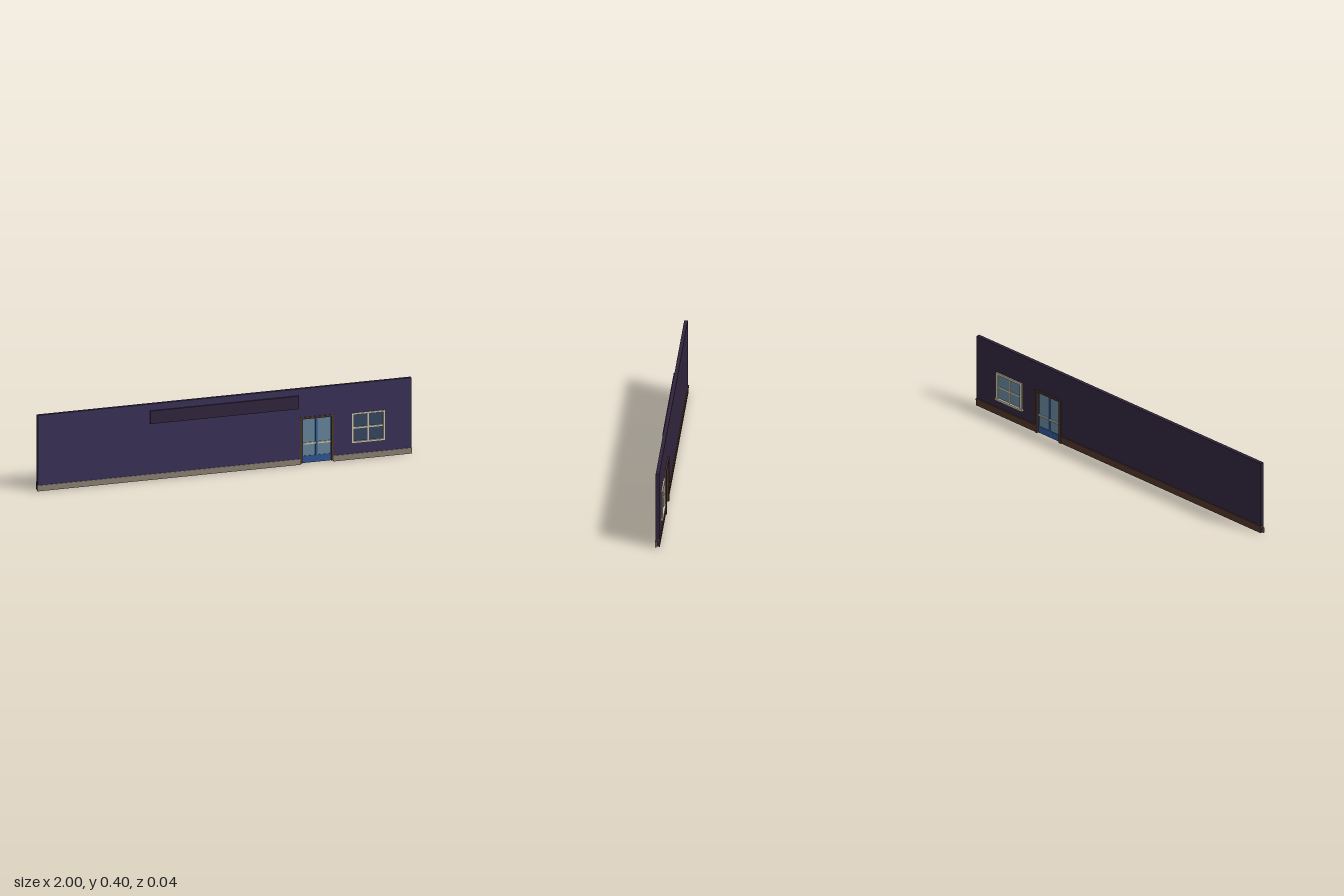
import * as THREE from 'three';

const mat = (name, color) => {
  const m = new THREE.MeshStandardMaterial({ color });
  m.name = name;
  return m;
};

export function createModel() {
  const plum = mat('purple paint', 0x3a2f56);
  const dark = mat('dark plum', 0x30253c);
  const stone = mat('stone plinth', 0x8a8072);
  const brown = mat('brown wood', 0x4f3428);
  const cream = mat('cream trim', 0xc9c0a8);
  const blue = mat('blue door', 0x2f5590);
  const paleGlass = mat('pale glass', 0x64849a);
  const darkGlass = mat('dark glass', 0x35455f);

  const model = new THREE.Group();
  model.name = 'shopfrontWall';

  // Box given by its limits on each axis
  const box = (parent, name, material, x0, x1, y0, y1, z0, z1) => {
    const g = new THREE.BoxGeometry(x1 - x0, y1 - y0, z1 - z0);
    g.translate((x0 + x1) / 2, (y0 + y1) / 2, (z0 + z1) / 2);
    const mesh = new THREE.Mesh(g, material);
    mesh.name = name;
    parent.add(mesh);
    return mesh;
  };
  const group = (name) => {
    const g = new THREE.Group();
    g.name = name;
    model.add(g);
    return g;
  };

  const door = { x0: 0.412, x1: 0.572, y0: 0.005, y1: 0.24 };
  const win = { x0: 0.685, x1: 0.85, y0: 0.09, y1: 0.238 };

  // Wall outline with a doorway notch and a window hole
  const outline = new THREE.Shape([
    [-0.998, 0.005], [door.x0, 0.005], [door.x0, door.y1], [door.x1, door.y1],
    [door.x1, 0.005], [0.998, 0.005], [0.998, 0.4], [-0.998, 0.4],
  ].map(([x, y]) => new THREE.Vector2(x, y)));
  outline.holes.push(new THREE.Path([
    [win.x0, win.y0], [win.x0, win.y1], [win.x1, win.y1], [win.x1, win.y0],
  ].map(([x, y]) => new THREE.Vector2(x, y))));

  const wallLayer = (name, material, z0, z1) => {
    const g = new THREE.ExtrudeGeometry(outline, { depth: z1 - z0, bevelEnabled: false });
    g.translate(0, 0, z0);
    const mesh = new THREE.Mesh(g, material);
    mesh.name = name;
    model.add(mesh);
  };
  wallLayer('wallCore', dark, -0.008, 0.009);
  wallLayer('wallFrontPaint', plum, 0.009, 0.0105);

  // Fascia board
  box(model, 'signBoard', dark, -0.4, 0.393, 0.297, 0.365, 0.0105, 0.02);

  // Plinth at the front, skirting with a cap at the back
  for (const [x0, x1] of [[-1, 0.404], [0.58, 1]]) {
    box(model, 'plinth', stone, x0, x1, 0, 0.03, 0.007, 0.0135);
    box(model, 'skirting', brown, x0, x1, 0.005, 0.037, -0.011, -0.007);
    box(model, 'skirtingCap', brown, x0, x1, 0.037, 0.045, -0.0135, 0.006);
  }

  // Door casing
  const doorway = group('doorway');
  box(doorway, 'doorPostRight', brown, 0.402, 0.415, 0.005, 0.248, -0.0155, 0.0135);
  box(doorway, 'doorPostLeft', brown, 0.569, 0.582, 0.005, 0.248, -0.0155, 0.0135);
  box(doorway, 'doorHead', brown, 0.415, 0.569, 0.238, 0.248, -0.0155, 0.0135);

  // Two glazed leaves
  for (const [x0, x1] of [[0.415, 0.4915], [0.4925, 0.569]]) {
    const leaf = group('doorLeaf');
    box(leaf, 'kickPanel', blue, x0, x1, 0.005, 0.042, -0.004, 0.004);
    box(leaf, 'topRail', blue, x0, x1, 0.234, 0.238, -0.004, 0.004);
    box(leaf, 'stileA', blue, x0, x0 + 0.005, 0.042, 0.234, -0.004, 0.004);
    box(leaf, 'stileB', blue, x1 - 0.005, x1, 0.042, 0.234, -0.004, 0.004);
    box(leaf, 'doorGlass', paleGlass, x0 + 0.005, x1 - 0.005, 0.042, 0.234, -0.002, 0.002);
    box(leaf, 'pushBar', cream, x0 + 0.004, x1 - 0.004, 0.102, 0.111, -0.007, 0.007);
  }

  // Four-pane window, trimmed on both faces
  const windowGroup = group('window');
  box(windowGroup, 'outerGlass', darkGlass, win.x0, win.x1, win.y0, win.y1, 0, 0.004);
  box(windowGroup, 'innerGlass', paleGlass, win.x0, win.x1, win.y0, win.y1, -0.006, 0);
  const mx = (win.x0 + win.x1) / 2, my = (win.y0 + win.y1) / 2;
  for (const [z0, z1, e] of [[0.003, 0.0125, 0.005], [-0.0155, -0.005, 0.008]]) {
    const { x0, x1, y0, y1 } = win;
    box(windowGroup, 'frameRight', cream, x0 - e, x0 + 0.004, y0 - 0.004, y1 + e, z0, z1);
    box(windowGroup, 'frameLeft', cream, x1 - 0.004, x1 + e, y0 - 0.004, y1 + e, z0, z1);
    box(windowGroup, 'frameTop', cream, x0, x1, y1 - 0.004, y1 + e, z0, z1);
    box(windowGroup, 'frameBottom', cream, x0, x1, y0 - 0.004, y0 + 0.004, z0, z1);
    const b0 = z0 < 0 ? -0.009 : 0.002, b1 = z0 < 0 ? -0.005 : 0.009;
    box(windowGroup, 'glazingBarUpright', cream, mx - 0.004, mx + 0.004, y0, y1, b0, b1);
    box(windowGroup, 'glazingBarLevel', cream, x0, x1, my - 0.004, my + 0.004, b0, b1);
  }
  box(windowGroup, 'windowSill', cream, win.x0 - 0.014, win.x1 + 0.014, 0.091, 0.1, -0.0185, -0.007);

  return model;
}
